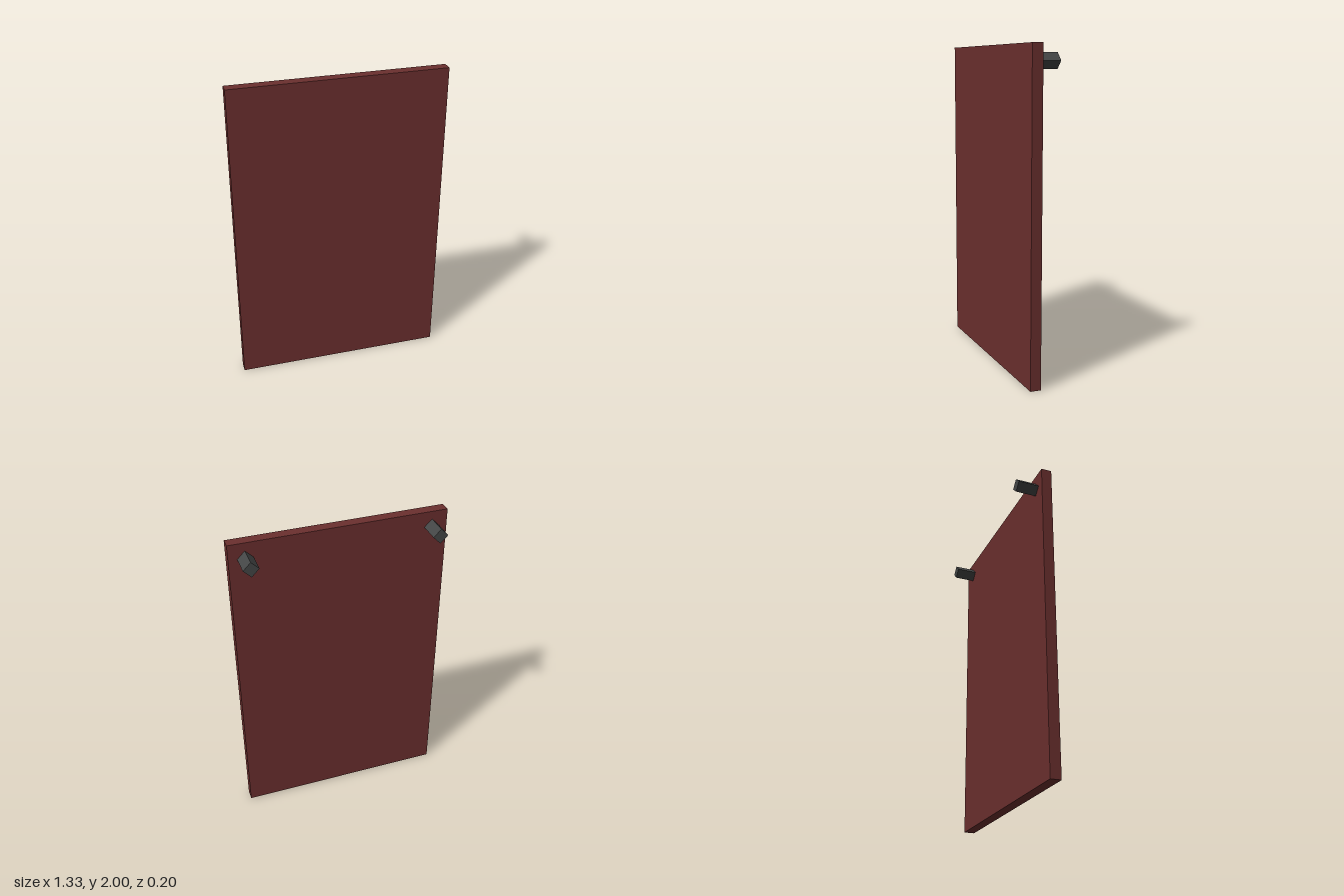
import * as THREE from 'three';

export function createModel() {
  const model = new THREE.Group();
  const red = new THREE.MeshStandardMaterial({ color: 0x6b2f2e, flatShading: true });
  const dark = new THREE.MeshStandardMaterial({ color: 0x444646, flatShading: true });

  // Upright flat board
  const panel = new THREE.Mesh(new THREE.BoxGeometry(1.333, 2, 0.0667), red);
  panel.name = 'panel';
  panel.position.set(0, 1, 0.0667);
  model.add(panel);

  // Square pegs on the back, turned to stand on an edge
  const pegGeometry = new THREE.BoxGeometry(0.0667, 0.0667, 0.1333);
  for (const [name, x] of [['leftPeg', 0.567], ['rightPeg', -0.57]]) {
    const peg = new THREE.Mesh(pegGeometry, dark);
    peg.name = name;
    peg.position.set(x, 1.903, -0.0333);
    peg.rotation.z = Math.PI / 4;
    model.add(peg);
  }

  return model;
}
